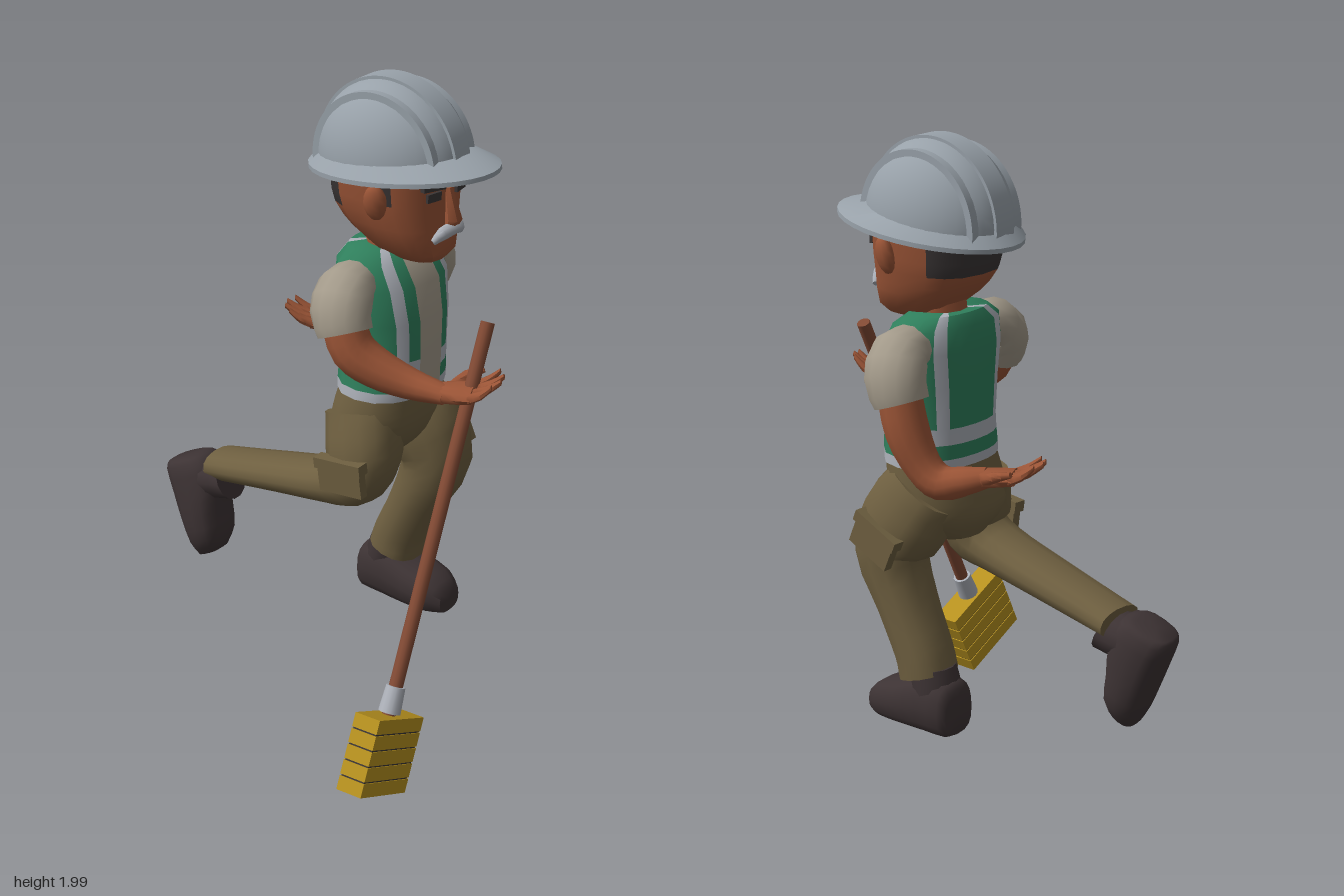
import * as THREE from 'three';
import { toCreasedNormals } from 'three/addons/utils/BufferGeometryUtils.js';

const V = (x, y, z) => new THREE.Vector3(x, y, z);
const X = V(1, 0, 0), Y = V(0, 1, 0), Z = V(0, 0, 1);

function paint(name, color) {
  const m = new THREE.MeshStandardMaterial({ color });
  m.name = name;
  return m;
}

// Closed skin over rings [x, y, z, halfWidth, halfDepth]; pick() chooses a material per cell.
function loft(stations, { sub = 1, sides = 14, angles, ref = X, axis, pow = 1, pick = () => 0, crease = 0.9 } = {}) {
  const mids = new THREE.CatmullRomCurve3(stations.map(s => V(s[0], s[1], s[2])), false, 'catmullrom', 0.5);
  const sizes = new THREE.CatmullRomCurve3(stations.map(s => V(s[3], s[4], 0)), false, 'catmullrom', 0.5);
  const rows = (stations.length - 1) * sub;
  angles = angles || Array.from({ length: sides }, (_, i) => i * 360 / sides);
  const n = angles.length, pos = [], lists = [];
  const bend = v => Math.sign(v) * Math.abs(v) ** pow;
  for (let i = 0; i <= rows; i++) {
    const c = mids.getPoint(i / rows), s = sizes.getPoint(i / rows);
    const t = axis || mids.getTangent(i / rows);
    const u = ref.clone().addScaledVector(t, -ref.dot(t)).normalize();
    const v = u.clone().cross(t);
    for (const a of angles) {
      const r = a * Math.PI / 180;
      const p = c.clone().addScaledVector(u, s.x * bend(Math.cos(r))).addScaledVector(v, s.y * bend(Math.sin(r)));
      pos.push(p.x, p.y, p.z);
    }
  }
  const first = mids.getPoint(0), last = mids.getPoint(1), base = (rows + 1) * n;
  pos.push(first.x, first.y, first.z, last.x, last.y, last.z);
  const add = (m, ...idx) => (lists[m] = lists[m] || []).push(...idx);
  for (let j = 0; j < n; j++) {
    const k = (j + 1) % n, mid = (angles[j] + (k ? angles[k] : 360)) / 2;
    for (let i = 0; i < rows; i++) {
      const a = i * n + j, b = i * n + k;
      add(pick(i, mid), a, a + n, b, b, a + n, b + n);
    }
    add(pick(0, mid), base, j, k);
    add(pick(rows - 1, mid), base + 1, rows * n + k, rows * n + j);
  }
  const geo = new THREE.BufferGeometry();
  geo.setAttribute('position', new THREE.Float32BufferAttribute(pos, 3));
  const index = [];
  lists.forEach((l, m) => { geo.addGroup(index.length, l.length, m); index.push(...l); });
  geo.setIndex(index);
  return toCreasedNormals(geo, crease);
}

export function createModel() {
  const skin = paint('skin', 0x9a5436), wood = paint('wood', 0x824a34), green = paint('vest green', 0x2f7f5c);
  const silver = paint('silver', 0xacb0b8), shirt = paint('shirt beige', 0xa39a8a), khaki = paint('khaki', 0x6e5f40);
  const leather = paint('boot leather', 0x3d3334), shell = paint('helmet grey', 0x98a1a9);
  const straw = paint('straw yellow', 0xb8921f), dark = paint('dark hair', 0x3a3535);
  const model = new THREE.Group();
  model.name = 'worker';

  function add(name, geo, mat, parent = model, p = [0, 0, 0], r = [0, 0, 0]) {
    const m = new THREE.Mesh(geo, mat);
    m.name = name;
    m.position.set(...p);
    m.rotation.set(...r);
    parent.add(m);
    return m;
  }
  function group(name, p = [0, 0, 0], r = [0, 0, 0]) {
    const g = new THREE.Group();
    g.name = name;
    g.position.set(...p);
    g.rotation.set(...r);
    model.add(g);
    return g;
  }
  const box = (w, h, d) => new THREE.BoxGeometry(w, h, d);

  // Head, with hair on the back and sideburns
  const head = group('head');
  const pickHair = (i, a) => (i >= 4 && a > 203 && a < 337) || (i >= 5 && ((a > 9 && a < 25) || (a > 155 && a < 171))) ? 1 : 0;
  add('skull', loft([[0.24, 1.46, 0.2, 0.07, 0.085], [0.24, 1.485, 0.185, 0.1, 0.12], [0.237, 1.54, 0.15, 0.13, 0.155],
    [0.235, 1.57, 0.135, 0.14, 0.17], [0.235, 1.61, 0.12, 0.152, 0.183], [0.235, 1.65, 0.115, 0.16, 0.188],
    [0.235, 1.78, 0.11, 0.172, 0.193]],
  { angles: [0, 10, 24, 40, 62, 90, 118, 140, 156, 170, 180, 204, 225, 247, 270, 293, 315, 336], axis: Y, pow: 0.75, pick: pickHair }),
  [skin, dark], head);
  add('neck', new THREE.CylinderGeometry(0.08, 0.09, 0.12, 12), skin, head, [0.235, 1.46, 0.11]);
  add('nose', loft([[0.243, 1.575, 0.315, 0.024, 0.02], [0.243, 1.595, 0.322, 0.027, 0.026],
    [0.243, 1.69, 0.3, 0.014, 0.012]], { sides: 6, axis: Y }), skin, head);
  const lip = [[-0.068, 1.535, 0.298], [-0.04, 1.558, 0.313], [0, 1.567, 0.322], [0.04, 1.558, 0.313], [0.068, 1.535, 0.298]];
  add('moustache', loft(lip.map(([x, y, z], i) => [0.243 + x, y, z, i % 4 ? 0.021 : 0.01, i % 4 ? 0.018 : 0.01]),
    { sub: 2, sides: 8, ref: Y }), silver, head);
  for (const s of [-1, 1]) {
    add('eye', box(0.055, 0.026, 0.009), dark, head, [0.24 + s * 0.066, 1.676, 0.298], [0, s * 0.17, 0]);
    add('brow', box(0.088, 0.018, 0.016), dark, head, [0.24 + s * 0.068, 1.706, 0.297], [0, s * 0.17, s * 0.08]);
    const ear = add('ear', new THREE.SphereGeometry(1, 10, 8), skin, head, [0.235 + s * 0.168, 1.66, 0.165], [0, s * -0.3, s * -0.2]);
    ear.scale.set(0.025, 0.058, 0.036);
  }

  // Hard hat: dome, raised ridges and a brim longer at the front
  const hat = group('hardHat', [0.232, 1.747, 0.108], [-0.1, 0.04, 0]);
  add('dome', new THREE.SphereGeometry(1, 32, 12, 0, Math.PI * 2, 0, Math.PI / 2), shell, hat).scale.set(0.185, 0.246, 0.243);
  for (const [x, half, k] of [[0, 0.038, 1.015], [-0.095, 0.014, 0.89], [0.095, 0.014, 0.89]]) {
    const arch = new THREE.Shape();
    arch.absellipse(0, 0, 0.243 * k, 0.246 * k, 0, Math.PI, false, 0);
    arch.closePath();
    const g = new THREE.ExtrudeGeometry(arch, { depth: half * 2, bevelEnabled: false, curveSegments: 24 });
    g.translate(0, 0, -half);
    g.rotateY(Math.PI / 2);
    add('ridge', toCreasedNormals(g, 0.6), shell, hat, [x, 0, 0]);
  }
  add('brim', loft([[0, -0.008, 0.005, 0.17, 0.23], [0, -0.028, 0.035, 0.22, 0.312], [0, -0.014, 0.035, 0.22, 0.312],
    [0, 0.025, 0.005, 0.18, 0.238]], { sides: 32, axis: Y, crease: 0.6 }), shell, hat);

  // Torso: open vest with reflective bands over a shirt
  const quarter = [0, 23, 46, 61, 75];
  const ring = [...quarter, 90, ...quarter.slice(1).reverse().map(a => 180 - a)];
  const around = [...ring, ...ring.map(a => a + 180)];
  const pickVest = (i, a) => {
    if (a > 75 && a < 105) return 1;
    if (i === 0 || i === 2) return 2;
    const q = a % 180, side = q > 90 ? 180 - q : q;
    return i > 2 && side > 46 && side < 61 ? 2 : 0;
  };
  add('vest', loft([[0.225, 1.025, 0.12, 0.188, 0.142], [0.226, 1.055, 0.12, 0.185, 0.144], [0.228, 1.1, 0.12, 0.179, 0.145],
    [0.23, 1.15, 0.12, 0.176, 0.146], [0.23, 1.27, 0.118, 0.185, 0.147], [0.23, 1.38, 0.108, 0.2, 0.138],
    [0.23, 1.45, 0.09, 0.19, 0.112], [0.23, 1.485, 0.08, 0.14, 0.08]],
  { angles: around, axis: Y, pow: 0.88, pick: pickVest }), [green, shirt, silver]);

  // Arms: sleeve, bare arm and hand
  add('leftSleeve', loft([[0.36, 1.4, 0.08, 0.065, 0.06], [0.44, 1.39, 0.075, 0.09, 0.078], [0.482, 1.33, 0.055, 0.098, 0.084],
    [0.482, 1.26, 0.03, 0.088, 0.076]], { sub: 2, ref: Z }), shirt);
  add('rightSleeve', loft([[0.1, 1.4, 0.09, 0.065, 0.06], [0.01, 1.39, 0.105, 0.09, 0.078], [-0.035, 1.34, 0.12, 0.095, 0.084],
    [-0.045, 1.28, 0.145, 0.088, 0.076]], { sub: 2, ref: Z }), shirt);
  add('leftArm', loft([[0.482, 1.31, 0.045, 0.066, 0.066], [0.486, 1.18, 0.005, 0.068, 0.065], [0.472, 1.08, -0.045, 0.055, 0.058],
    [0.455, 1.04, -0.1, 0.054, 0.052], [0.425, 1.055, -0.17, 0.05, 0.042], [0.395, 1.07, -0.225, 0.036, 0.03]],
  { sub: 3, sides: 12 }), skin);
  add('rightArm', loft([[-0.045, 1.32, 0.135, 0.068, 0.066], [-0.045, 1.235, 0.175, 0.072, 0.068], [-0.02, 1.185, 0.245, 0.066, 0.06],
    [0.015, 1.15, 0.345, 0.052, 0.045], [0.035, 1.14, 0.455, 0.036, 0.03]], { sub: 3, sides: 12 }), skin);

  // Hand pointing along local +z, thumb on the given side, fingers lifting by curl
  function hand(name, p, r, thumb, curl) {
    const g = group(name, p, r);
    add('palm', loft([[0, 0, -0.02, 0.034, 0.028], [0, 0, 0.03, 0.05, 0.026], [0, 0, 0.09, 0.056, 0.022]],
      { sub: 2, sides: 10, axis: Z, pow: 0.8 }), skin, g);
    for (let i = 0; i < 4; i++) {
      const x = (i - 1.5) * 0.027, len = i % 3 ? 0.1 : 0.08;
      add('finger', loft([[x, 0, 0.08, 0.014, 0.016], [x * 1.2, curl * 0.4, 0.08 + len * 0.55, 0.014, 0.014],
        [x * 1.25, curl, 0.08 + len, 0.008, 0.009]], { sub: 2, sides: 7, axis: Z }), skin, g);
    }
    add('thumb', loft([[thumb * 0.03, 0, 0.01, 0.016, 0.018], [thumb * 0.07, 0.02, 0.05, 0.016, 0.016],
      [thumb * 0.085, 0.03, 0.1, 0.009, 0.009]], { sub: 2, sides: 7 }), skin, g);
  }
  hand('leftHand', [0.4, 1.068, -0.215], [0.1, Math.PI + 0.5, 0], -1, 0.04);
  hand('rightHand', [0.04, 1.145, 0.45], [-0.15, 0.32, 0.15], 1, 0.045);

  // Trousers
  add('trouserSeat', loft([[0.22, 0.79, 0.07, 0.09, 0.08], [0.215, 0.86, 0.085, 0.175, 0.135], [0.22, 0.94, 0.105, 0.19, 0.148],
    [0.225, 1.035, 0.12, 0.18, 0.138]], { sub: 3, sides: 18, axis: Y, pow: 0.9 }), khaki);
  add('leftTrouserLeg', loft([[0.32, 0.95, 0.09, 0.1, 0.125], [0.345, 0.84, 0.155, 0.115, 0.14], [0.36, 0.73, 0.2, 0.107, 0.112],
    [0.36, 0.58, 0.14, 0.098, 0.085], [0.36, 0.44, 0.075, 0.092, 0.083], [0.36, 0.37, 0.055, 0.09, 0.086]],
  { sub: 3, pow: 0.88 }), khaki);
  add('rightTrouserLeg', loft([[0.12, 0.95, 0.09, 0.1, 0.12], [0.095, 0.84, 0.115, 0.108, 0.12], [0.085, 0.745, 0.1, 0.104, 0.095],
    [0.082, 0.705, 0.01, 0.1, 0.068], [0.09, 0.66, -0.2, 0.093, 0.056], [0.1, 0.603, -0.475, 0.083, 0.047]],
  { sub: 3, pow: 0.88 }), khaki);
  for (const [name, p, r] of [['left', [0.457, 0.79, 0.18], [-0.42, 0, 0]], ['right', [-0.012, 0.775, 0.11], [-0.1, 0, 0.05]]]) {
    add(name + 'Pocket', box(0.03, 0.1, 0.16), khaki, model, p, r);
    const flap = add(name + 'PocketFlap', box(0.042, 0.035, 0.175), khaki, model, p, r);
    flap.translateY(0.045);
  }

  // Boots: shaft and rounded foot with a flat sole
  const shaft = loft([[0, 0.05, 0.005, 0.078, 0.07], [0, 0.14, 0.02, 0.08, 0.074], [0, 0.215, 0.04, 0.076, 0.07]], { sub: 2, axis: Y });
  const foot = loft([[0, 0.075, -0.065, 0.055, 0.06], [0, 0.088, -0.045, 0.076, 0.086], [0, 0.092, 0.04, 0.086, 0.092],
    [0, 0.075, 0.13, 0.09, 0.075], [0, 0.062, 0.215, 0.083, 0.062], [0, 0.045, 0.265, 0.052, 0.04]],
  { sub: 2, sides: 16, axis: Z, pow: 0.72 });
  for (const [name, p, r] of [['leftBoot', [0.36, 0.19, 0], [0, 0, 0]], ['rightBoot', [0.065, 0.515, -0.635], [1.15, 0, -0.12]]]) {
    const boot = group(name, p, r);
    add('shaft', shaft, leather, boot);
    add('foot', foot, leather, boot);
  }

  // Broom: slanted handle, ferrule and a head of stacked straw layers
  const low = V(-0.37, 0.24, 0.553), high = V(0.157, 1.345, 0.512), dir = high.clone().sub(low);
  const broom = group('broom', low.toArray());
  broom.quaternion.setFromUnitVectors(Y, dir.clone().normalize());
  add('handle', new THREE.CylinderGeometry(0.021, 0.021, dir.length(), 12), wood, broom, [0, dir.length() / 2, 0]);
  add('ferrule', new THREE.CylinderGeometry(0.029, 0.034, 0.08, 14), silver, broom, [0, 0.085, 0]);
  const layers = 5, step = 0.238 / layers;
  add('binding', box(0.254, 0.232, 0.079), dark, broom, [0, -0.078, 0.005], [0, 0.05, 0]);
  for (let i = 0; i < layers; i++) {
    add('strawLayer', box(0.26, step - 0.005, 0.085), straw, broom, [0, 0.041 - step * (i + 0.5), 0.005], [0, 0.05, 0]);
  }
  return model;
}
